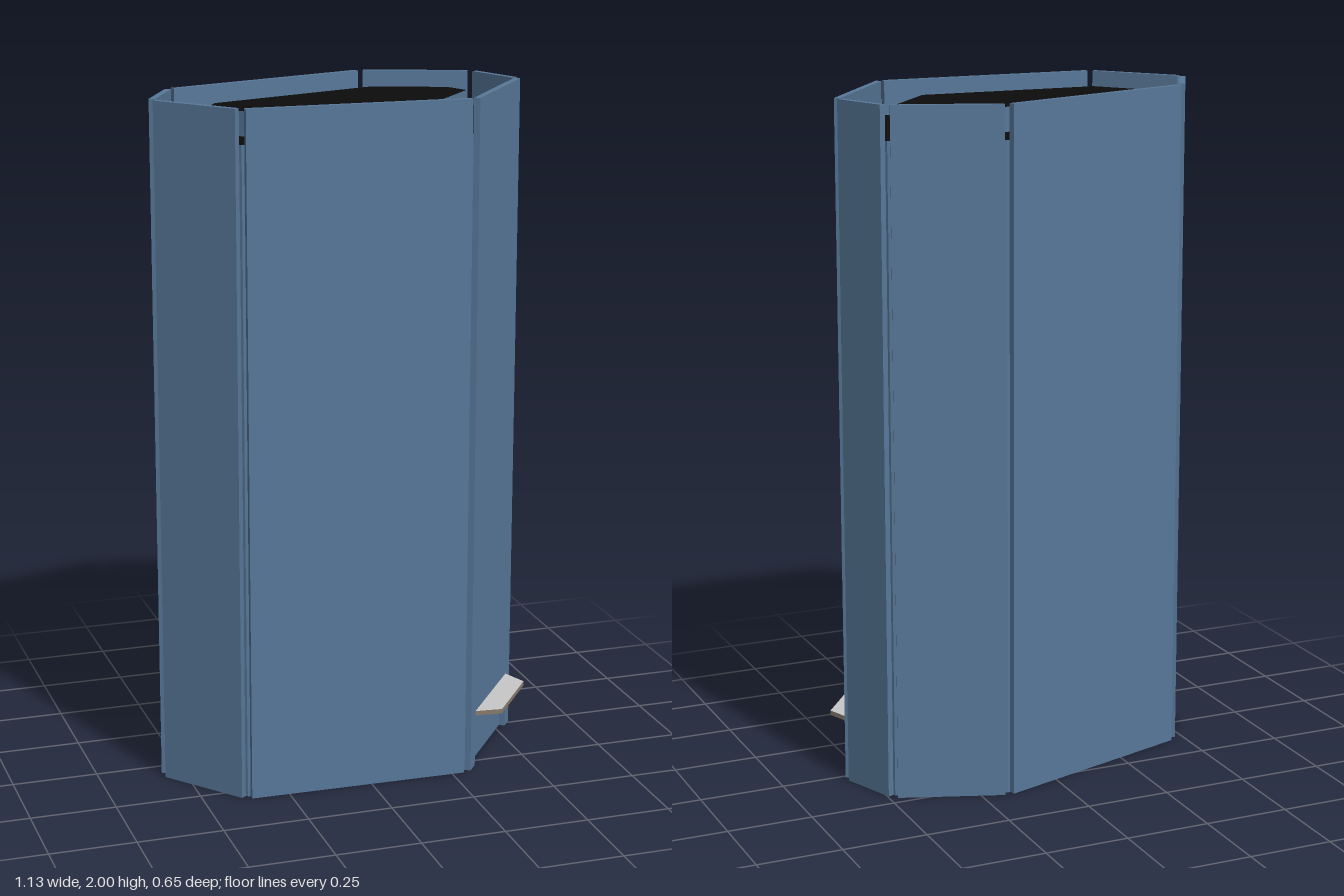
import * as THREE from 'three';

const blue = new THREE.MeshStandardMaterial({ name: 'blue facade', color: 0x587899 });
const black = new THREE.MeshStandardMaterial({ name: 'black roof', color: 0x0c0c0c });
const grey = new THREE.MeshStandardMaterial({ name: 'canopy grey', color: 0xc8c8c8 });
const brown = new THREE.MeshStandardMaterial({ name: 'canopy edge', color: 0x8a7a6c });

// Upright prism from a plan outline of [x, z] points
function prism(name, plan, y0, y1, caps, sides) {
  const shape = new THREE.Shape(plan.map(([x, z]) => new THREE.Vector2(x, -z)));
  const geometry = new THREE.ExtrudeGeometry(shape, { depth: y1 - y0, bevelEnabled: false });
  geometry.rotateX(-Math.PI / 2).translate(0, y0, 0);
  const mesh = new THREE.Mesh(geometry, [caps, sides]);
  mesh.name = name;
  return mesh;
}

export function createModel() {
  const model = new THREE.Group();
  model.name = 'tower';

  // Seven-sided core and the raised block on its roof
  const core = [[0.295, 0.307], [0.545, -0.022], [0.477, -0.2], [0.17, -0.312],
    [-0.457, -0.115], [-0.553, 0.067], [-0.37, 0.295]];
  const block = [[0.22, 0.178], [0.4, -0.03], [0.37, -0.105], [0.165, -0.185],
    [-0.36, -0.01], [-0.4, 0.06], [-0.32, 0.165]];
  model.add(prism('core', core, 0, 1.9, black, blue));
  model.add(prism('roofBlock', block, 1.9, 1.97, black, blue));

  // Facade panels, rising past the roof as a parapet, with open corner seams
  const thickness = 0.018, inset = 0.008, doorTop = 0.16;
  core.forEach(([ax, az], i) => {
    const [bx, bz] = core[(i + 1) % core.length];
    const length = Math.hypot(bx - ax, bz - az);
    const tx = (bx - ax) / length, tz = (bz - az) / length;
    // Plan point: t along the wall, n outward from it
    const at = (t, n) => [ax + tx * t - tz * n, az + tz * t + tx * n];
    const strip = (name, t0, t1, y0, y1) => model.add(prism(name,
      [at(t0, 0), at(t1, 0), at(t1, thickness), at(t0, thickness)], y0, y1, blue, blue));

    if (i > 0) {
      strip('facadePanel', inset, length - inset, 0, 2);
      return;
    }
    // Entrance wall: doorway cut in the panel, tapered canopy above
    strip('entrancePanel', 0, length, doorTop, 2);
    strip('doorJamb', 0, 0.045, 0, doorTop);
    strip('doorJamb', 0.372, length, 0, doorTop);
    model.add(prism('canopy', [at(0.045, thickness), at(0.372, thickness),
      at(0.327, 0.088), at(0.087, 0.088)], 0.158, 0.172, grey, brown));
  });

  return model;
}
